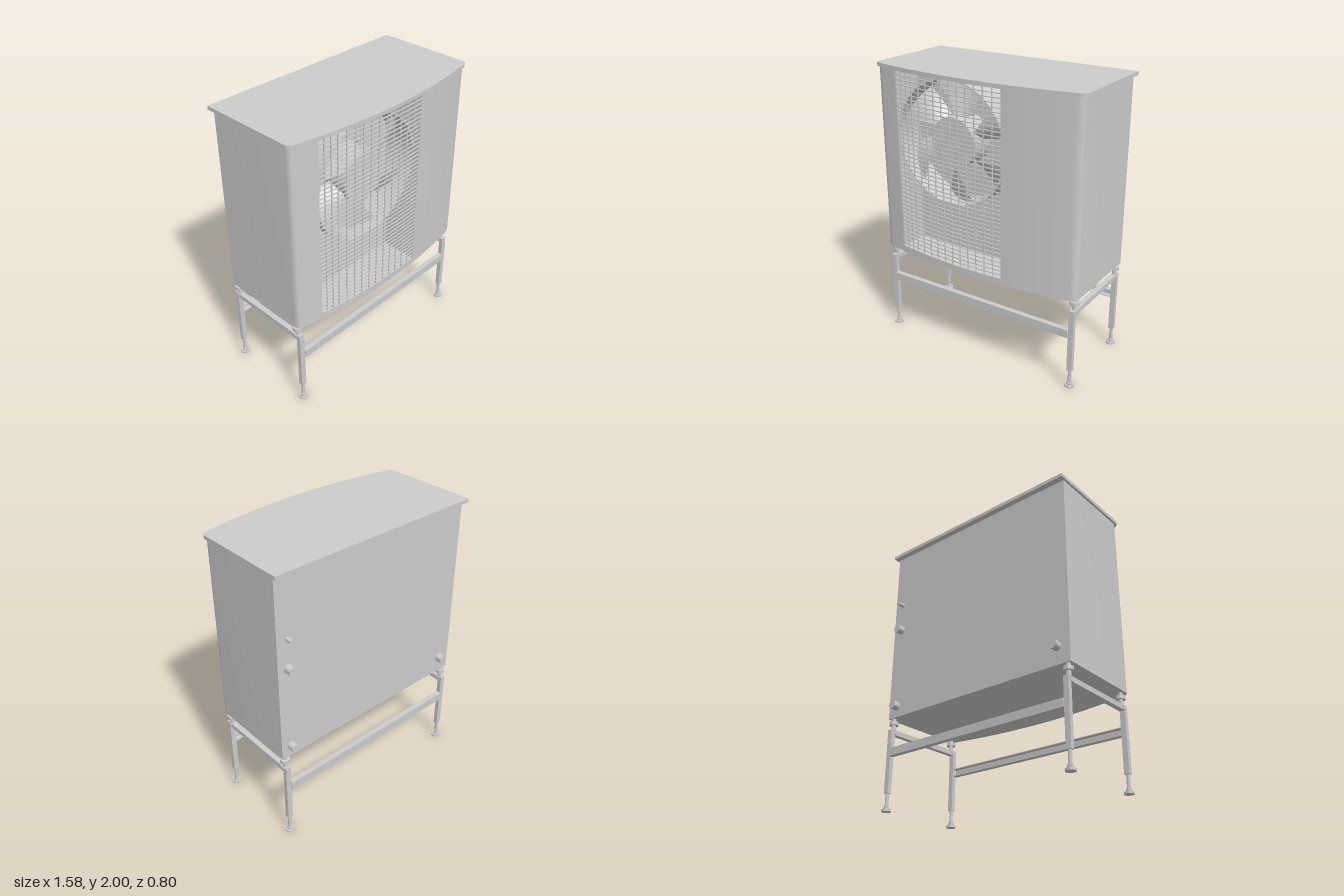
import * as THREE from 'three';
import { toCreasedNormals } from 'three/addons/utils/BufferGeometryUtils.js';

const mat = new THREE.MeshStandardMaterial({ color: 0xcccccc });
const thin = new THREE.MeshStandardMaterial({ color: 0xcccccc, side: THREE.DoubleSide });

// Opening in the front of the cabinet
const GRILLE = { left: -0.6, right: 0.26, bottom: 0.7, top: 1.975, back: 0.12 };
const FAN = { x: -0.17, y: 1.54 };

// Depth of the bowed front at a given x
const frontZ = (x, crown = 0.39) => crown - (x * x) / 7.3;

function add(parent, name, geometry, x = 0, y = 0, z = 0, material = mat) {
  const mesh = new THREE.Mesh(geometry, material);
  mesh.name = name;
  mesh.position.set(x, y, z);
  parent.add(mesh);
  return mesh;
}

const box = (w, h, d) => new THREE.BoxGeometry(w, h, d);
const cyl = (r, h, n = 24) => toCreasedNormals(new THREE.CylinderGeometry(r, r, h, n), 0.6);

// Extrudes a plan outline of [x, z] points upwards
function extrudePlan(points, height) {
  const shape = new THREE.Shape(points.map(([x, z]) => new THREE.Vector2(x, -z)));
  const g = new THREE.ExtrudeGeometry(shape, { depth: height, bevelEnabled: false });
  return toCreasedNormals(g.rotateX(-Math.PI / 2), 0.5);
}

// Points along the bowed front from x0 to x1
function bow(x0, x1, crown, n = 16) {
  return Array.from({ length: n + 1 }, (_, i) => {
    const x = x0 + ((x1 - x0) * i) / n;
    return [x, frontZ(x, crown)];
  });
}

// Rounded front corner on the +x side, running from the side to the front
function corner(half, crown) {
  const x = half - 0.05, z = frontZ(x, crown);
  const curve = new THREE.QuadraticBezierCurve(
    new THREE.Vector2(half, z - 0.045),
    new THREE.Vector2(half, z - 0.01),
    new THREE.Vector2(x, z)
  );
  return curve.getPoints(8).map((p) => [p.x, p.y]);
}

// Cabinet outline: flat back and sides, bowed front, optional front recess
function outline(half, back, crown, recess) {
  const c = corner(half, crown);
  const e = half - 0.05;
  const mirrored = c.map(([x, z]) => [-x, z]).reverse();
  const front = recess
    ? [...bow(e, recess.right, crown).slice(1), [recess.right, recess.back],
       [recess.left, recess.back], ...bow(recess.left, -e, crown).slice(0, -1)]
    : bow(e, -e, crown, 32).slice(1, -1);
  return [[-half, back], [half, back], ...c, ...front, ...mirrored];
}

function buildCabinet() {
  const g = new THREE.Group();
  g.name = 'cabinet';
  add(g, 'basePan', extrudePlan(outline(0.775, -0.35, 0.39), 0.04), 0, 0.66);
  add(g, 'casing', extrudePlan(outline(0.775, -0.35, 0.39, GRILLE), 1.275), 0, 0.7);
  add(g, 'lid', extrudePlan(outline(0.79, -0.39, 0.4), 0.025), 0, 1.975);
  // Pipe stubs on the back: x, y, radius
  const stubs = [[0.7, 1.549, 0.014], [0.7, 1.34, 0.03], [0.7, 0.742, 0.03], [-0.68, 0.782, 0.03]];
  for (const [x, y, r] of stubs) {
    add(g, 'pipeStub', cyl(r, 0.06).rotateX(Math.PI / 2), x, y, -0.37);
  }
  return g;
}

function buildGrille() {
  const g = new THREE.Group();
  g.name = 'grille';
  // Horizontal wires follow the bowed front
  const outer = bow(GRILLE.right, GRILLE.left, 0.39, 12);
  const inner = outer.map(([x, z]) => [x, z - 0.008]).reverse();
  const wire = extrudePlan([...outer, ...inner], 0.006);
  const rows = 42, step = (GRILLE.top - GRILLE.bottom - 0.006) / rows;
  for (let i = 0; i <= rows; i++) add(g, 'horizontalWire', wire, 0, GRILLE.bottom + i * step, 0);
  // Vertical wires, closer together at the right-hand end
  const height = GRILLE.top - GRILLE.bottom;
  const bar = box(0.006, height, 0.008);
  const xs = [-0.597, -0.552, -0.504];
  for (let i = 0; i <= 11; i++) xs.push(-0.456 + i * 0.0648);
  for (const x of xs) add(g, 'verticalWire', bar, x, GRILLE.bottom + height / 2, frontZ(x) - 0.006);
  return g;
}

// Twisted blade, sweeping wider and further forward towards its tip
function bladeGeometry() {
  const g = new THREE.PlaneGeometry(1, 1, 10, 10);
  const p = g.attributes.position;
  const lerp = THREE.MathUtils.lerp;
  for (let i = 0; i < p.count; i++) {
    const u = p.getX(i) + 0.5, v = p.getY(i) + 0.5;
    const r = lerp(0.16, 0.412, u);
    const a = THREE.MathUtils.degToRad(lerp(lerp(6, 11, u), lerp(30, 50, u), v));
    const z = 0.16 + 0.11 * v + 0.02 * Math.sin(Math.PI * v);
    p.setXYZ(i, r * Math.cos(a), r * Math.sin(a), z);
  }
  g.computeVertexNormals();
  return g;
}

function buildFan() {
  const g = new THREE.Group();
  g.name = 'fan';
  g.position.set(FAN.x, FAN.y, 0);
  const ring = new THREE.Shape().absarc(0, 0, 0.428, 0, Math.PI * 2);
  ring.holes.push(new THREE.Path().absarc(0, 0, 0.418, 0, Math.PI * 2, true));
  const shroud = new THREE.ExtrudeGeometry(ring, { depth: 0.21, bevelEnabled: false, curveSegments: 64 });
  add(g, 'shroud', toCreasedNormals(shroud, 0.5), 0, 0, GRILLE.back);
  add(g, 'hub', cyl(0.172, 0.18, 48).rotateX(Math.PI / 2), 0, 0, 0.21);
  const blade = bladeGeometry();
  for (let i = 0; i < 6; i++) {
    add(g, 'blade', blade, 0, 0, 0, thin).rotation.z = (i * Math.PI) / 3;
  }
  return g;
}

function buildStand() {
  const g = new THREE.Group();
  g.name = 'stand';
  const legZ = [0.282, -0.346], mountZ = [0.257, -0.329];
  for (const side of [-1, 1]) {
    const x = side * 0.742;
    add(g, 'topBar', box(0.037, 0.035, 0.657), x, 0.5575, -0.0335);
    for (const z of legZ) {
      add(g, 'leg', box(0.037, 0.42, 0.031), x, 0.335, z);
      // Levelling foot
      add(g, 'footPad', cyl(0.033, 0.014), x, 0.007, z);
      add(g, 'footCollar', cyl(0.02, 0.014), x, 0.02, z);
      add(g, 'footNut', cyl(0.016, 0.012, 6), x, 0.036, z);
      add(g, 'footRod', cyl(0.012, 0.12), x, 0.075, z);
    }
    for (const z of mountZ) {
      // Rubber mount under the cabinet
      add(g, 'mountBracket', box(0.046, 0.03, 0.026), x, 0.557, z);
      add(g, 'mountStud', cyl(0.016, 0.05), x, 0.59, z);
      add(g, 'mountDisc', cyl(0.032, 0.026), x, 0.624, z);
      add(g, 'mountCap', cyl(0.015, 0.03), x, 0.648, z);
    }
  }
  // Long rails: channels opening inwards
  for (const [z, s] of [[0.308, 1], [-0.37, -1]]) {
    add(g, 'railWeb', box(1.45, 0.057, 0.006), 0, 0.407, z - s * 0.003);
    for (const y of [0.3815, 0.4325]) add(g, 'railFlange', box(1.45, 0.006, 0.034), 0, y, z - s * 0.02);
  }
  return g;
}

export function createModel() {
  const model = new THREE.Group();
  model.name = 'outdoorFanUnit';
  model.add(buildCabinet(), buildGrille(), buildFan(), buildStand());
  return model;
}
